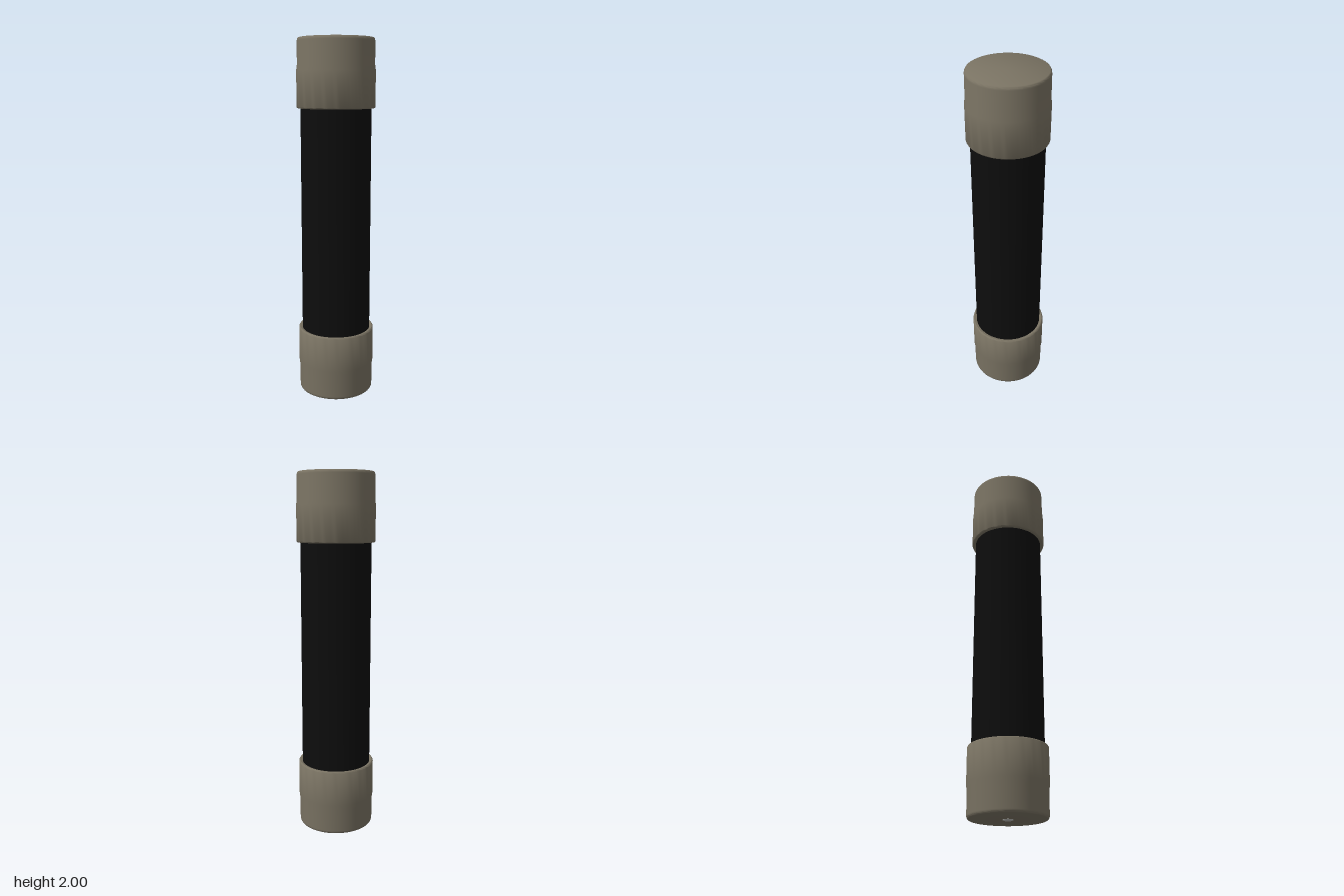
import * as THREE from 'three';
import { toCreasedNormals } from 'three/addons/utils/BufferGeometryUtils.js';

const SEGMENTS = 64;

function lathe(name, profile, color) {
  const points = profile.map(([r, y]) => new THREE.Vector2(r, y));
  const geometry = toCreasedNormals(new THREE.LatheGeometry(points, SEGMENTS), 0.6);
  const mesh = new THREE.Mesh(geometry, new THREE.MeshStandardMaterial({ color }));
  mesh.name = name;
  return mesh;
}

export function createModel() {
  const model = new THREE.Group();
  model.name = 'cartridgeFuse';

  // Dark tube running between the caps
  const body = lathe('tubeBody', [[0, 0.03], [0.194, 0.03], [0.194, 1.97], [0, 1.97]], 0x0d0d0d);
  model.add(body);

  // Metal cap: rolled lip, slightly wider skirt, rounded shoulder and flat end
  const capProfile = [
    [0.193, 0.004], [0.208, 0], [0.212, 0.002], [0.215, 0.007], [0.215, 0.2],
    [0.211, 0.23], [0.21, 0.355], [0.209, 0.363], [0.206, 0.369], [0.201, 0.372], [0, 0.372],
  ];
  const topCap = lathe('topCap', capProfile, 0x7a7363);
  topCap.position.y = 1.628;
  const bottomCap = lathe('bottomCap', capProfile, 0x7a7363);
  bottomCap.rotation.x = Math.PI;
  bottomCap.position.y = 0.38;
  model.add(topCap, bottomCap);

  // Small solder bead at the centre of the lower end
  const bead = new THREE.Mesh(
    new THREE.SphereGeometry(0.028, 24, 12),
    new THREE.MeshStandardMaterial({ color: 0xb8b8b4 }),
  );
  bead.name = 'solderBead';
  bead.scale.y = 0.285;
  bead.position.y = 0.008;
  model.add(bead);

  return model;
}
